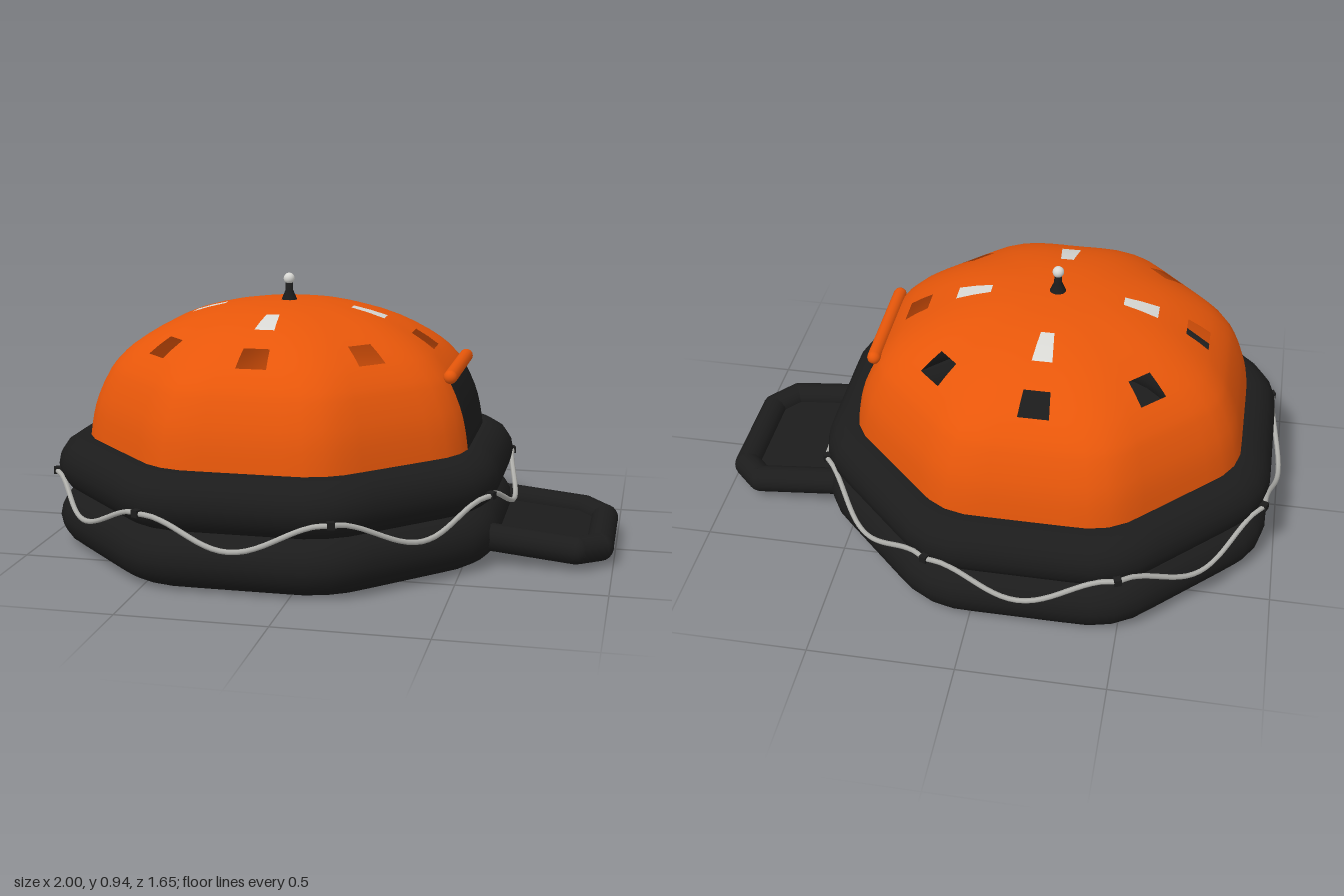
import * as THREE from 'three';
import { mergeVertices } from 'three/addons/utils/BufferGeometryUtils.js';

const CX = -0.177; // centre of the raft body
const SIDE = Math.PI / 4;
const paint = (name, color, side = THREE.FrontSide) => {
  const m = new THREE.MeshStandardMaterial({ color, side });
  m.name = name;
  return m;
};

// Radius at angle t of an octagon of apothem 1 with corners rounded to the given radius
function octagon(t, round) {
  const off = Math.abs(t - Math.round(t / SIDE) * SIDE);
  if (Math.tan(off) <= (1 - round) * Math.tan(SIDE / 2)) return 1 / Math.cos(off);
  const d = (1 - round) / Math.cos(SIDE / 2);
  const a = SIDE / 2 - off;
  return d * Math.cos(a) + Math.sqrt(round ** 2 - (d * Math.sin(a)) ** 2);
}

export function createModel() {
  const orange = paint('orange fabric', 0xe8570a, THREE.DoubleSide);
  const black = paint('black rubber', 0x1c1c1c, THREE.DoubleSide);
  const silver = paint('reflective silver', 0xd8d8d4, THREE.DoubleSide);
  const ropeGrey = paint('rope grey', 0xb0b0ac);

  const model = new THREE.Group();
  model.name = 'lifeRaft';
  const add = (parent, name, geometry, material, x = 0, y = 0, z = 0) => {
    const mesh = new THREE.Mesh(geometry, material);
    mesh.name = name;
    mesh.position.set(x, y, z);
    parent.add(mesh);
    return mesh;
  };
  // Straight round bar between two points
  const rod = (parent, name, a, b, r, material) => {
    const dir = b.clone().sub(a);
    const mid = a.clone().add(b).multiplyScalar(0.5);
    const mesh = add(parent, name, new THREE.CylinderGeometry(r, r, dir.length(), 14), material, mid.x, mid.y, mid.z);
    mesh.quaternion.setFromUnitVectors(new THREE.Vector3(0, 1, 0), dir.normalize());
  };

  // Two stacked octagonal buoyancy tubes
  const tube = tubeGeometry();
  add(model, 'lowerTube', tube, black, CX, 0.1, 0);
  add(model, 'upperTube', tube, black, CX, 0.288, 0);

  // Floor, close to the underside of the lower tube
  const floor = new THREE.CylinderGeometry(0.7, 0.7, 0.04, 8);
  floor.rotateY(SIDE / 2);
  add(model, 'floor', floor, black, CX, 0.042, 0);

  add(model, 'canopy', canopyGeometry(), [orange, black, silver], CX, 0, 0);

  // Rolled door flap above the entrance
  const roll = new THREE.CapsuleGeometry(0.024, 0.4, 6, 14);
  roll.rotateX(Math.PI / 2);
  add(model, 'rolledDoorFlap', roll, orange, 0.433, 0.634, 0);

  // Grab line: eight swags tied at the corners, bowing down and outwards
  for (let side = 0; side < 8; side++) {
    const points = [];
    for (let i = 0; i <= 12; i++) {
      const u = i / 6 - 1;
      const sag = (1 + Math.cos(Math.PI * u)) / 2;
      points.push(new THREE.Vector3(0.774 + 0.044 * sag, 0.262 - 0.095 * sag, 0.3206 * u));
    }
    const swag = new THREE.TubeGeometry(new THREE.CatmullRomCurve3(points), 24, 0.009, 6);
    add(model, 'grabLine', swag, ropeGrey, CX).rotation.y = side * SIDE;

    // Rope patch at the corner
    const t = (side + 0.5) * SIDE;
    const patch = add(model, 'ropePatch', new THREE.BoxGeometry(0.03, 0.024, 0.024), black,
      CX + 0.833 * Math.cos(t), 0.262, 0.833 * Math.sin(t));
    patch.rotation.y = -t;
  }

  // Roof lamp
  const stem = [[0.032, 0], [0.027, 0.015], [0.014, 0.045], [0.013, 0.075], [0, 0.075]]
    .map(([r, y]) => new THREE.Vector2(r, y));
  add(model, 'lampStem', new THREE.LatheGeometry(stem, 16), black, CX, 0.838, 0);
  add(model, 'lampBulb', new THREE.SphereGeometry(0.02, 16, 12), silver, CX, 0.925, 0);

  // Sloping boarding ramp: inflated frame with a thin panel
  const ramp = new THREE.Group();
  ramp.name = 'boardingRamp';
  ramp.position.set(0.6, 0.096, 0);
  ramp.rotation.z = -0.1;
  model.add(ramp);
  const outline = [[-0.1, 0.257], [0.278, 0.257], [0.354, 0.178], [0.354, -0.178], [0.278, -0.257], [-0.1, -0.257]];
  const joints = outline.map(([x, z]) => new THREE.Vector3(x, 0, z));
  joints.forEach((p, i) => {
    add(ramp, 'rampJoint', new THREE.SphereGeometry(0.048, 14, 10), black, p.x, 0, p.z);
    if (i) rod(ramp, 'rampTube', joints[i - 1], p, 0.048, black);
  });
  const panel = new THREE.ExtrudeGeometry(
    new THREE.Shape(outline.map(([x, z]) => new THREE.Vector2(x, z))), { depth: 0.024, bevelEnabled: false });
  panel.rotateX(Math.PI / 2);
  add(ramp, 'rampPanel', panel, black, 0, 0.002, 0);

  return model;
}

// Inflated ring bent to a rounded octagon
function tubeGeometry() {
  const ring = new THREE.TorusGeometry(0.686, 0.1, 16, 64);
  ring.rotateX(Math.PI / 2);
  const p = ring.attributes.position;
  for (let i = 0; i < p.count; i++) {
    const k = octagon(Math.atan2(p.getZ(i), p.getX(i)), 0.36);
    p.setX(i, p.getX(i) * k);
    p.setZ(i, p.getZ(i) * k);
  }
  ring.deleteAttribute('normal');
  ring.deleteAttribute('uv');
  const merged = mergeVertices(ring);
  merged.computeVertexNormals();
  return merged;
}

// Domed tent: octagonal at the rim, rounder towards the top, with window openings,
// a dark doorway and reflective strips
function canopyGeometry() {
  const knots = [[0.68, 0.34], [0.675, 0.387], [0.664, 0.46], [0.645, 0.53], [0.608, 0.612], [0.575, 0.656],
    [0.53, 0.7], [0.45, 0.753], [0.35, 0.799], [0.23, 0.832], [0.12, 0.847], [0, 0.851]]
    .map(([r, y]) => new THREE.Vector2(r, y));
  const profile = new THREE.SplineCurve(knots).getPoints(2 * (knots.length - 1)); // two rows per knot
  const N = 64;
  const positions = [];
  for (const { x: r, y } of profile) {
    const round = 1 - 0.66 * Math.min(1, r / 0.62);
    for (let j = 0; j < N; j++) {
      const t = (j / N) * Math.PI * 2;
      const k = r * octagon(t, round);
      positions.push(k * Math.cos(t), y, k * Math.sin(t));
    }
  }
  const faces = [[], [], []]; // orange, black, silver
  const near = (j, step, n) => (j + n) % step < 2 * n; // within n cells of every step-th line
  for (let i = 0; i < profile.length - 1; i++) {
    const row = Math.floor(i / 2);
    for (let j = 0; j < N; j++) {
      if (row === 6 && near(j, 8, 1)) continue; // window openings
      const door = row < 4 && near(j, N, 3);
      const strip = row === 8 && near(j, 16, 1);
      const a = i * N + j, b = i * N + ((j + 1) % N);
      faces[door ? 1 : strip ? 2 : 0].push(a, a + N, b, b, a + N, b + N);
    }
  }
  const geometry = new THREE.BufferGeometry();
  geometry.setAttribute('position', new THREE.Float32BufferAttribute(positions, 3));
  geometry.setIndex(faces.flat());
  let start = 0;
  faces.forEach((f, i) => {
    geometry.addGroup(start, f.length, i);
    start += f.length;
  });
  geometry.computeVertexNormals();
  return geometry;
}
